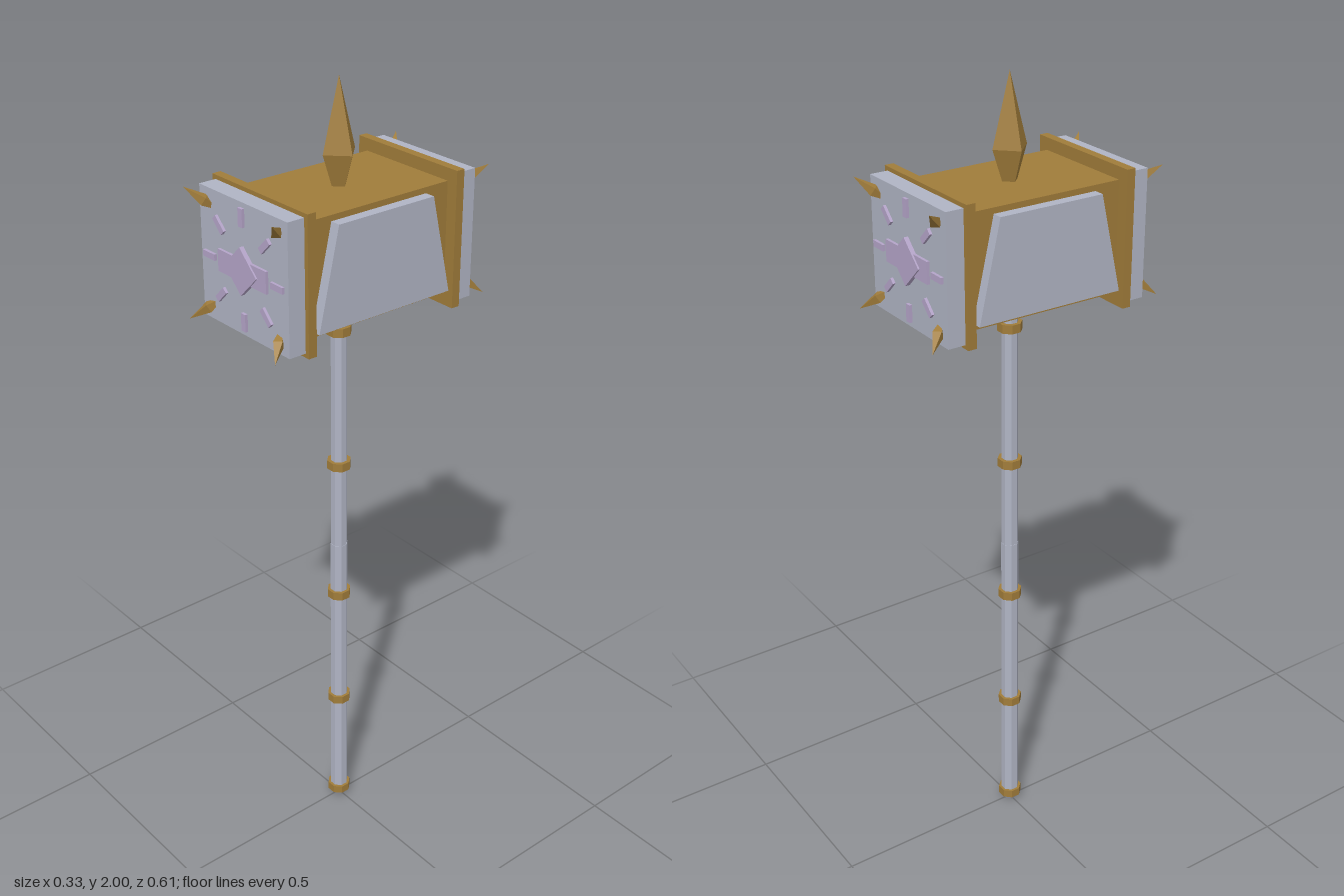
import * as THREE from 'three';

const mat = (name, color) => new THREE.MeshStandardMaterial({ name, color, flatShading: true });

export function createModel() {
  const gold = mat('gold', 0xa07c3a);
  const steel = mat('steel', 0xb0b4c4);
  const lilac = mat('lilac', 0xb4a4c8);
  const model = new THREE.Group();
  model.name = 'warHammer';

  const add = (parent, name, geometry, material, x = 0, y = 0, z = 0) => {
    const mesh = new THREE.Mesh(geometry, material);
    mesh.name = name;
    mesh.position.set(x, y, z);
    parent.add(mesh);
    return mesh;
  };
  const box = (w, h, d) => new THREE.BoxGeometry(w, h, d);
  // Eight-sided cylinder with a flat facing forward
  const octagon = (rTop, rBottom, h) =>
    new THREE.CylinderGeometry(rTop, rBottom, h, 8).rotateY(Math.PI / 8);

  // Handle, slightly thicker in its lower half
  add(model, 'upperShaft', octagon(0.02, 0.021, 0.68), steel, 0, 1.16);
  add(model, 'lowerShaft', octagon(0.022, 0.023, 0.81), steel, 0, 0.415);
  add(model, 'pommelTip', octagon(0.023, 0.017, 0.01), steel, 0, 0.005);
  for (const y of [0.026, 0.338, 0.672, 1.05, 1.408]) {
    add(model, 'handleRing', octagon(0.03, 0.03, 0.022), gold, 0, y);
  }
  add(model, 'headCollar', octagon(0.056, 0.056, 0.03), gold, 0, 1.477);

  // Hammer head
  const head = new THREE.Group();
  head.name = 'head';
  head.position.y = 1.623;
  model.add(head);
  add(head, 'headCore', box(0.274, 0.268, 0.41), gold);

  // Trapezoid side panels
  const trapezoid = new THREE.Shape([
    new THREE.Vector2(-0.19, -0.118), new THREE.Vector2(0.19, -0.118),
    new THREE.Vector2(0.135, 0.12), new THREE.Vector2(-0.135, 0.12),
  ]);
  for (const side of [-1, 1]) {
    const panel = new THREE.ExtrudeGeometry(trapezoid, { depth: 0.03, bevelEnabled: false });
    add(head, 'sidePanel', panel, steel, side * 0.133).rotation.y = side * Math.PI / 2;
  }

  // Four-sided spike, widest near its base
  const spike = new THREE.LatheGeometry([
    new THREE.Vector2(0, 0), new THREE.Vector2(0.02, 0),
    new THREE.Vector2(0.046, 0.077), new THREE.Vector2(0, 0.245),
  ], 4);
  add(head, 'topSpike', spike, gold, 0, 0.132);

  const diamond = new THREE.ExtrudeGeometry(new THREE.Shape([
    new THREE.Vector2(0.057, 0), new THREE.Vector2(0, 0.056),
    new THREE.Vector2(-0.057, 0), new THREE.Vector2(0, -0.056),
  ]), { depth: 0.012, bevelEnabled: false });

  // Two identical striking ends
  for (const turn of [0, Math.PI]) {
    const end = new THREE.Group();
    end.name = turn ? 'backEnd' : 'frontEnd';
    end.rotation.y = turn;
    head.add(end);
    add(end, 'rimPlate', box(0.332, 0.328, 0.022), gold, 0, 0, 0.211);
    add(end, 'strikingFace', box(0.31, 0.308, 0.044), steel, 0, 0, 0.244);

    // Raised emblem and its ring of rays
    add(end, 'emblemBar', box(0.172, 0.052, 0.008), lilac, 0, 0, 0.269);
    add(end, 'emblemDiamond', diamond, lilac, 0, 0, 0.265);
    for (let i = 0; i < 8; i++) {
      const a = i * Math.PI / 4, r = i % 2 ? 0.115 : 0.121;
      const ray = add(end, 'ray', box(0.042, 0.015, 0.008), lilac,
        r * Math.cos(a), r * Math.sin(a), 0.269);
      ray.rotation.z = a;
    }

    // Corner spikes pointing outward
    for (const sx of [-1, 1]) for (const sy of [-1, 1]) {
      const tip = new THREE.Vector3(sx * 0.157, sy * 0.155, 0.307);
      const dir = new THREE.Vector3(sx * 0.03, sy * 0.03, 0.034).normalize();
      const base = tip.clone().addScaledVector(dir, -0.078);
      const corner = add(end, 'cornerSpike', spike, gold, base.x, base.y, base.z);
      corner.scale.setScalar(0.32);
      corner.quaternion.setFromUnitVectors(new THREE.Vector3(0, 1, 0), dir);
    }
  }
  return model;
}
